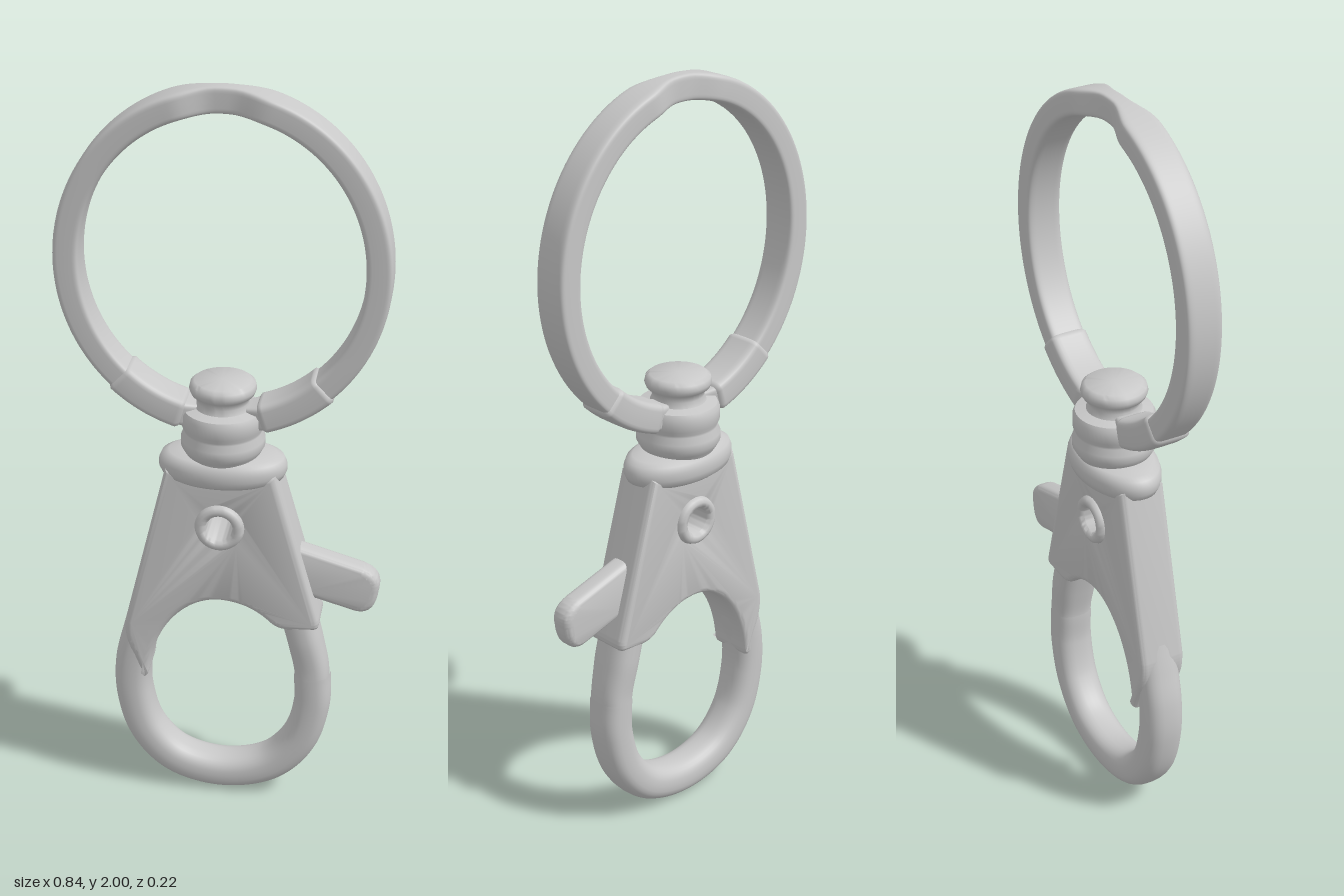
import * as THREE from 'three';
import { toCreasedNormals } from 'three/addons/utils/BufferGeometryUtils.js';

const V = (x, y) => new THREE.Vector2(x, y);
const smooth = THREE.MathUtils.smoothstep;

// Sweep a rounded-box section along a planar curve; size(p, u) gives [half width, half depth]
function sweep(curve, size, { steps = 120, closed = false, power = 2.5, sides = 28 } = {}) {
  const pos = [], idx = [], rows = closed ? steps : steps + 1;
  const se = (v) => Math.sign(v) * Math.abs(v) ** (2 / power);
  for (let i = 0; i < rows; i++) {
    const u = i / steps, p = curve.getPointAt(u), t = curve.getTangentAt(u);
    const [w, d] = size(p, u);
    for (let j = 0; j < sides; j++) {
      const a = (j / sides) * Math.PI * 2, k = w * se(Math.cos(a));
      pos.push(p.x - t.y * k, p.y + t.x * k, d * se(Math.sin(a)));
    }
  }
  for (let i = 0; i < steps; i++) {
    for (let j = 0; j < sides; j++) {
      const n = (j + 1) % sides, r = i * sides, q = ((i + 1) % rows) * sides;
      idx.push(r + j, r + n, q + j, r + n, q + n, q + j);
    }
  }
  const g = new THREE.BufferGeometry();
  g.setAttribute('position', new THREE.Float32BufferAttribute(pos, 3));
  g.setIndex(idx);
  g.computeVertexNormals();
  return g;
}

// Rounded plate centred on z = 0
function plate(shape, halfDepth, bevel) {
  const g = new THREE.ExtrudeGeometry(shape, {
    depth: 2 * (halfDepth - bevel), bevelEnabled: true, bevelThickness: bevel,
    bevelSize: bevel, bevelOffset: -bevel, bevelSegments: 5, curveSegments: 20,
  });
  g.translate(0, 0, bevel - halfDepth);
  return toCreasedNormals(g, 0.6);
}

function lathe(points, segments = 56) {
  return toCreasedNormals(new THREE.LatheGeometry(points.map(([x, y]) => V(x, y)), segments), 0.8);
}

export function createModel() {
  const model = new THREE.Group();
  const metal = new THREE.MeshStandardMaterial({ color: 0xc8c8c8 });
  metal.name = 'light grey metal';
  const add = (name, geometry) => {
    const mesh = new THREE.Mesh(geometry, metal);
    mesh.name = name;
    model.add(mesh);
    return mesh;
  };

  // Key ring: flat band, pinched at the top and where it enters the swivel
  const loop = new THREE.EllipseCurve(0, 1.552, 0.387, 0.416, 0, Math.PI * 2);
  add('keyRing', sweep(loop, (p) => {
    const x = Math.abs(p.x);
    const depth = 0.023 + 0.025 * smooth(x, 0.02, 0.12);
    return [0.033, depth];
  }, { steps: 160, closed: true, power: 6, sides: 40 }));

  // Thicker sleeves on the ring either side of the swivel
  for (const s of [-1, 1]) {
    const arc = new THREE.EllipseCurve(0, 1.552, 0.387, 0.416,
      -Math.PI / 2 + s * 0.5 - 0.27, -Math.PI / 2 + s * 0.5 + 0.27);
    add(s > 0 ? 'leftSleeve' : 'rightSleeve', sweep(arc, (p, u) => {
      const e = Math.min(1, Math.sin(u * Math.PI) * 4);
      return [0.02 + 0.02 * e, 0.03 + 0.023 * e];
    }, { steps: 32, power: 5 }));
  }

  // Swivel post with its button head and two collars
  add('swivel', lathe([
    [0.07, 0.98], [0.09, 1.03], [0.1, 1.045], [0.108, 1.06], [0.108, 1.08], [0.1, 1.098],
    [0.1, 1.104], [0.106, 1.115], [0.106, 1.148], [0.1, 1.16], [0.072, 1.166], [0.066, 1.18],
    [0.07, 1.196], [0.081, 1.203], [0.086, 1.216], [0.083, 1.23], [0.073, 1.238], [0, 1.24],
  ]));

  // Oval flange on top of the body
  add('flange', lathe([
    [0, 0.965], [0.14, 0.966], [0.158, 0.975], [0.166, 0.992], [0.166, 1.01],
    [0.158, 1.028], [0.14, 1.036], [0.1, 1.042], [0, 1.045],
  ])).scale.z = 0.61;

  // Tapered body with an arch below, a rivet hole and a tongue down the right side
  const body = new THREE.Shape();
  body.moveTo(-0.143, 1.0);
  body.lineTo(-0.256, 0.535);
  body.quadraticCurveTo(-0.262, 0.48, -0.235, 0.43);
  body.lineTo(-0.207, 0.36);
  body.quadraticCurveTo(-0.196, 0.36, -0.194, 0.39);
  body.bezierCurveTo(-0.175, 0.53, -0.09, 0.62, 0, 0.62);
  body.quadraticCurveTo(0.075, 0.618, 0.13, 0.565);
  body.quadraticCurveTo(0.15, 0.545, 0.18, 0.545);
  body.lineTo(0.25, 0.55);
  body.quadraticCurveTo(0.268, 0.555, 0.26, 0.585);
  body.lineTo(0.143, 1.0);
  body.closePath();
  const hole = new THREE.Path();
  hole.absarc(0, 0.845, 0.045, 0, Math.PI * 2, true);
  body.holes.push(hole);
  add('body', plate(body, 0.065, 0.018));

  // Hollow rivet through the body
  const rivet = add('rivet', lathe([
    [0.035, -0.07], [0.042, -0.079], [0.052, -0.081], [0.061, -0.076], [0.065, -0.065],
    [0.065, 0.065], [0.061, 0.076], [0.052, 0.081], [0.042, 0.079], [0.035, 0.07], [0.035, -0.07],
  ], 40));
  rivet.rotation.x = Math.PI / 2;
  rivet.position.y = 0.845;

  // Hook: rounded loop from the body round to the gate
  const hookPath = new THREE.CatmullRomCurve3([
    [-0.2, 0.56], [-0.222, 0.48], [-0.243, 0.39], [-0.244, 0.29], [-0.21, 0.17], [-0.13, 0.083],
    [0, 0.05], [0.13, 0.083], [0.21, 0.17], [0.244, 0.29], [0.243, 0.39],
  ].map(([x, y]) => new THREE.Vector3(x, y, 0)));
  add('hook', sweep(hookPath, () => [0.049, 0.055]));

  // Spring gate closing the hook
  const gatePath = new THREE.CatmullRomCurve3([
    [0.243, 0.34], [0.241, 0.4], [0.225, 0.48], [0.205, 0.56], [0.19, 0.62],
  ].map(([x, y]) => new THREE.Vector3(x, y, 0)));
  add('gate', sweep(gatePath, (p, u) => [0.046, 0.054 + 0.006 * smooth(u, 0.2, 0.6)],
    { steps: 32, power: 2.6 }));

  // Thumb lever
  const lever = new THREE.Shape();
  lever.moveTo(0.12, 0.8);
  lever.lineTo(0.2, 0.78);
  lever.lineTo(0.37, 0.73);
  lever.quadraticCurveTo(0.425, 0.71, 0.413, 0.66);
  lever.quadraticCurveTo(0.405, 0.585, 0.35, 0.598);
  lever.lineTo(0.22, 0.635);
  lever.lineTo(0.12, 0.66);
  lever.closePath();
  add('thumbLever', plate(lever, 0.031, 0.02));

  return model;
}
